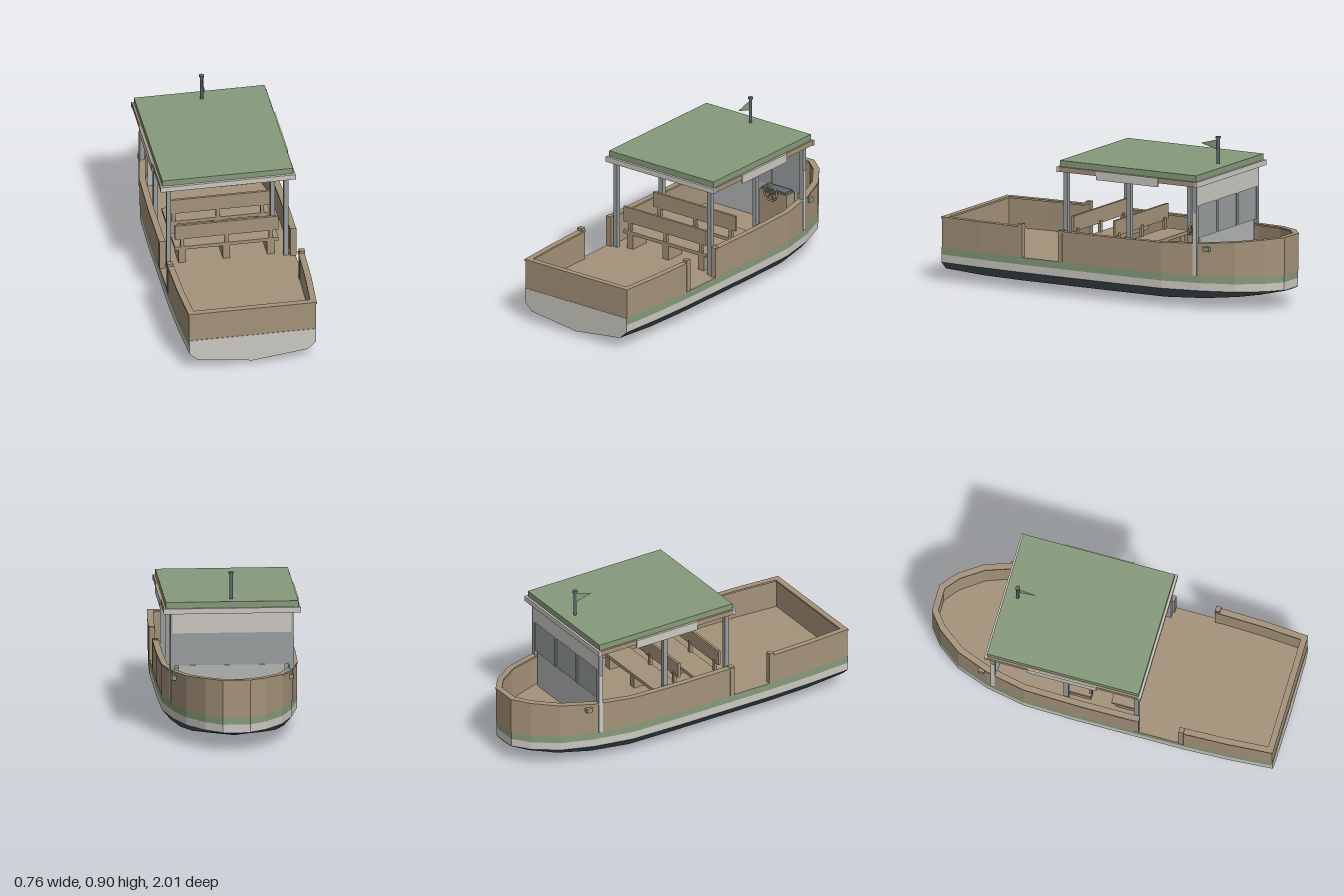
import * as THREE from 'three';

const mat = (name, color) => {
  const m = new THREE.MeshStandardMaterial({ color });
  m.name = name;
  return m;
};

export function createModel() {
  const wood = mat('wood brown', 0xa5937a);
  const green = mat('sage green', 0x879b7b);
  const white = mat('hull white', 0xccc9c2);
  const dark = mat('bottom slate', 0x4b5761);
  const grey = mat('frame grey', 0x9a9e9f);
  const pale = mat('panel grey', 0xb4b7b6);
  const steel = mat('mast steel', 0x5e6a71);
  const flagMat = mat('flag green', 0x879b7c);
  flagMat.side = THREE.DoubleSide;

  const model = new THREE.Group();
  const add = (name, geo, m, x = 0, y = 0, z = 0, parent = model) => {
    const mesh = new THREE.Mesh(geo, m);
    mesh.name = name;
    mesh.position.set(x, y, z);
    parent.add(mesh);
    return mesh;
  };
  // Box given by its limits
  const box = (name, m, x0, x1, y0, y1, z0, z1, parent) =>
    add(name, new THREE.BoxGeometry(x1 - x0, y1 - y0, z1 - z0), m,
      (x0 + x1) / 2, (y0 + y1) / 2, (z0 + z1) / 2, parent);

  // Faceted skin through rows of points
  const skin = (rows) => {
    const pos = [];
    for (let i = 0; i < rows.length - 1; i++) {
      for (let j = 0; j < rows[i].length - 1; j++) {
        const a = rows[i][j], b = rows[i][j + 1], c = rows[i + 1][j], d = rows[i + 1][j + 1];
        pos.push(...a, ...b, ...c, ...b, ...d, ...c);
      }
    }
    const g = new THREE.BufferGeometry();
    g.setAttribute('position', new THREE.Float32BufferAttribute(pos, 3));
    g.computeVertexNormals();
    return g;
  };

  // Hull stations, stern to bow: z, half width, keel height, chine height
  const stations = [
    [1, 0.35, 0.026, 0.065], [0.75, 0.367, 0.004, 0.054], [0.5, 0.375, 0.002, 0.052],
    [-0.1, 0.375, 0.002, 0.052], [-0.4, 0.368, 0.004, 0.052], [-0.62, 0.325, 0.02, 0.06],
    [-0.8, 0.26, 0.048, 0.075], [-0.93, 0.165, 0.08, 0.092], [-1, 0.075, 0.1, 0.102], [-1, 0, 0.1, 0.102],
  ];
  const DECK = 0.19, BAND = 0.15, WATER = 0.107;
  const band = (name, m, hi, lo) => {
    add(name + 'Left', skin(stations.map(([z, w]) => [[w, hi, z], [w, lo, z]])), m);
    add(name + 'Right', skin(stations.map(([z, w]) => [[-w, lo, z], [-w, hi, z]])), m);
  };
  band('greenBand', green, DECK, BAND);
  band('whiteBand', white, BAND, WATER);
  add('hullBottom', skin(stations.map(([z, w, k, c]) => [
    [w, WATER, z], [w * 0.87, c, z], [0, k, z], [-w * 0.87, c, z], [-w, WATER, z]])), dark);
  add('deck', skin(stations.map(([z, w]) => [[-w, DECK, z], [w, DECK, z]])), wood);
  const transom = [[0.35, DECK], [0.35, WATER], [0.305, 0.065], [0, 0.026], [-0.305, 0.065], [-0.35, WATER], [-0.35, DECK]];
  add('transom', new THREE.ShapeGeometry(new THREE.Shape(transom.map((p) => new THREE.Vector2(...p)))), white, 0, 0, 1);

  // Wall swept along a path of [x, z, top], with mitred corners and closed ends
  const sweep = (path, lo, hi, out, inn) => {
    const unit = (p, q) => new THREE.Vector2(q[0] - p[0], q[1] - p[1]).normalize();
    const last = path.length - 1;
    const rows = path.map((p, i) => {
      const d0 = unit(path[Math.max(i - 1, 0)], path[Math.max(i, 1)]);
      const d1 = unit(path[Math.min(i, last - 1)], path[Math.min(i + 1, last)]);
      const d = d0.clone().add(d1).normalize();
      const s = 1 / d.dot(d0);
      const at = (o, y) => [p[0] - d.y * o * s, y, p[1] + d.x * o * s];
      const a = at(-inn, lo(p[2]));
      return [a, at(-inn, hi(p[2])), at(out, hi(p[2])), at(out, lo(p[2])), a];
    });
    const end = (r) => r.map(() => [0, 1, 2].map((k) => (r[0][k] + r[2][k]) / 2));
    return skin([end(rows[0]), ...rows, end(rows[last])]);
  };
  const half = [[0.375, 0.25, 0.36], [0.375, -0.1, 0.36], [0.368, -0.4, 0.363], [0.325, -0.62, 0.371],
    [0.26, -0.8, 0.383], [0.165, -0.93, 0.394], [0.075, -1, 0.398]];
  const flip = (pts) => pts.map(([x, z, t]) => [-x, z, t]).reverse();
  const aft = [[0.35, 0.997, 0.36], [0.367, 0.75, 0.36], [0.375, 0.475, 0.36]];
  const walls = { bow: [...half, ...flip(half)], stern: [...flip(aft), ...aft] };
  for (const [name, path] of Object.entries(walls)) {
    add(name + 'Bulwark', sweep(path, () => DECK, (t) => t - 0.01, 0.001, 0.022), wood);
    add(name + 'CapRail', sweep(path, (t) => t - 0.01, (t) => t, 0.004, 0.03), wood);
  }

  // Gate posts, canopy posts, lamps and side boards, mirrored
  for (const s of [1, -1]) {
    const side = s > 0 ? 'Left' : 'Right';
    const sbox = (name, m, x0, x1, ...r) => box(name + side, m, Math.min(s * x0, s * x1), Math.max(s * x0, s * x1), ...r);
    sbox('gatePostAft', wood, 0.35, 0.38, DECK, 0.376, 0.475, 0.503);
    sbox('gatePostFore', wood, 0.345, 0.378, DECK, 0.364, 0.222, 0.25);
    for (const [z, n] of [[0.226, 'Aft'], [-0.172, 'Middle'], [-0.587, 'Fore']])
      sbox('canopyPost' + n, grey, 0.311, 0.336, DECK, 0.7, z - 0.013, z + 0.013);
    sbox('forePostTrim', white, 0.335, 0.3375, DECK, 0.54, -0.599, -0.575);
    sbox('canopyFascia', wood, 0.355, 0.372, 0.688, 0.716, -0.612, 0.247);
    sbox('sideBoard', white, 0.37, 0.377, 0.667, 0.716, -0.38, 0.01);
    sbox('sideLamp', s > 0 ? green : wood, 0.308, 0.331, 0.328, 0.354, -0.672, -0.637);
  }

  // Canopy
  box('canopyRoof', green, -0.361, 0.361, 0.714, 0.75, -0.612, 0.246);
  box('fasciaAft', white, -0.374, 0.374, 0.686, 0.716, 0.246, 0.26);
  box('fasciaFore', white, -0.374, 0.374, 0.686, 0.716, -0.624, -0.611);

  // Forward screen
  box('screenGlass', grey, -0.312, 0.312, 0.395, 0.7, -0.594, -0.585);
  box('screenLower', pale, -0.29, 0.29, DECK, 0.395, -0.596, -0.585);
  box('screenHeader', white, -0.325, 0.325, 0.575, 0.7, -0.601, -0.594);
  for (const x of [-0.105, 0.105]) box('screenBar', grey, x - 0.008, x + 0.008, 0.395, 0.575, -0.6, -0.58);

  // Passenger benches
  for (const z of [0.21, -0.05]) {
    const bench = new THREE.Group();
    bench.name = 'bench';
    bench.position.z = z;
    model.add(bench);
    box('benchBack', wood, -0.286, 0.286, 0.345, 0.432, -0.007, 0.007, bench);
    box('benchSeat', wood, -0.286, 0.286, 0.275, 0.295, -0.14, 0.005, bench);
    for (const x of [-0.245, 0, 0.245]) {
      box('benchLeg', wood, x - 0.02, x + 0.02, DECK, 0.275, -0.12, 0, bench);
      box('backSupport', wood, x - 0.01, x + 0.01, 0.295, 0.36, -0.012, 0.004, bench);
    }
  }

  // Helm console and wheel
  box('helmConsole', wood, 0.09, 0.275, DECK, 0.4, -0.575, -0.505);
  box('helmTop', steel, 0.1, 0.265, 0.4, 0.412, -0.57, -0.51);
  add('steeringWheel', new THREE.TorusGeometry(0.045, 0.006, 6, 10), wood, 0.18, 0.4, -0.485);
  for (let i = 0; i < 3; i++) {
    add('wheelSpoke', new THREE.BoxGeometry(0.088, 0.006, 0.006), wood, 0.18, 0.4, -0.485).rotation.z = i * Math.PI / 3;
  }
  add('wheelShaft', new THREE.CylinderGeometry(0.007, 0.007, 0.03, 8), steel, 0.18, 0.4, -0.494).rotation.x = Math.PI / 2;

  // Mast and pennant
  add('mast', new THREE.CylinderGeometry(0.009, 0.009, 0.145, 10), steel, 0, 0.82, -0.54);
  add('mastCap', new THREE.CylinderGeometry(0.014, 0.014, 0.01, 10), steel, 0, 0.895, -0.54);
  const pennant = new THREE.Shape([[0.535, 0.825], [0.535, 0.883], [0.43, 0.853]].map((p) => new THREE.Vector2(...p)));
  add('pennant', new THREE.ShapeGeometry(pennant), flagMat).rotation.y = Math.PI / 2;

  return model;
}
